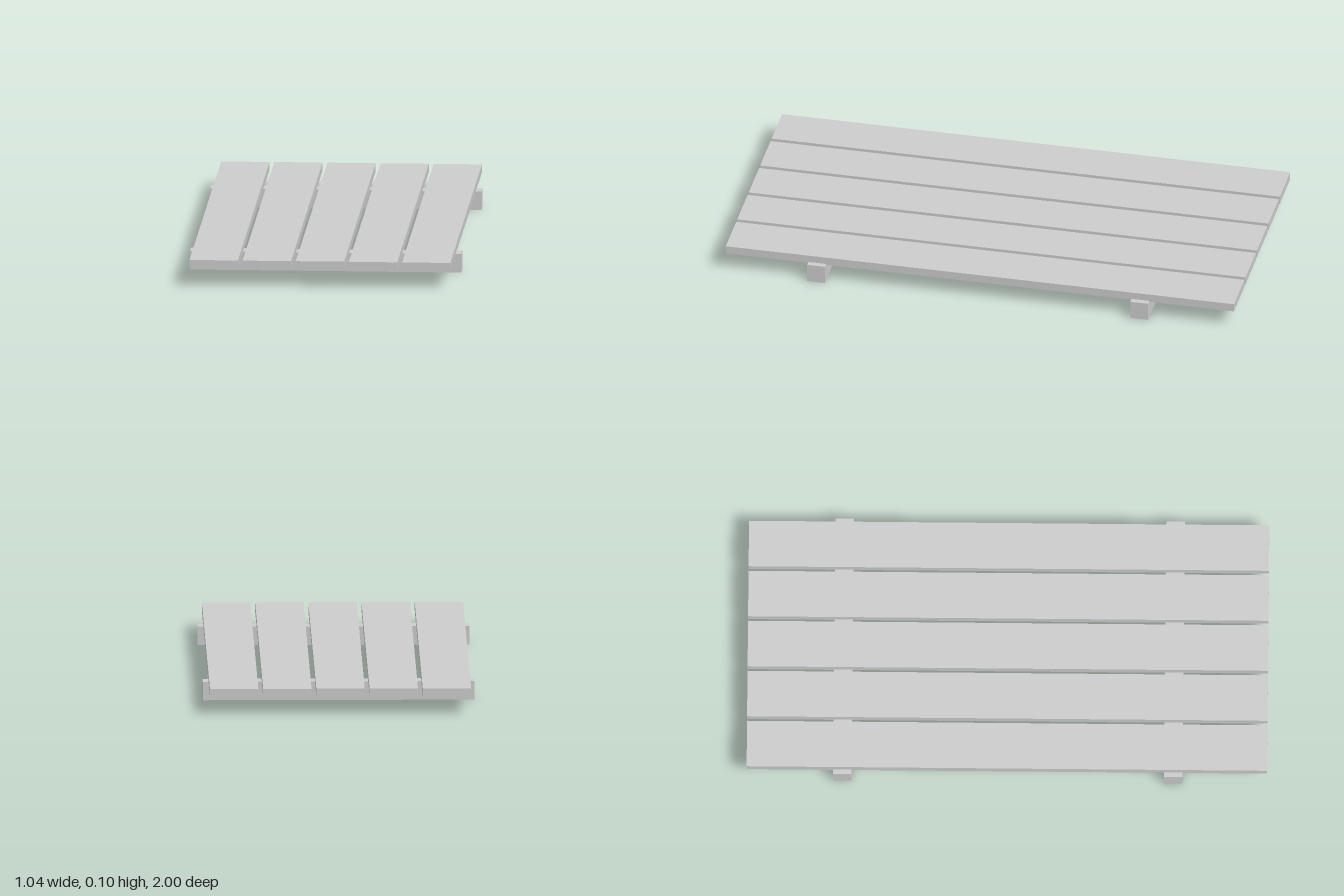
import * as THREE from 'three';

export function createModel() {
  const model = new THREE.Group();
  model.name = 'slattedPlatform';
  const material = new THREE.MeshStandardMaterial({ color: 0xcccccc, flatShading: true });

  const addBox = (name, size, position) => {
    const mesh = new THREE.Mesh(new THREE.BoxGeometry(...size), material);
    mesh.name = name;
    mesh.position.set(...position);
    model.add(mesh);
  };

  // Five long planks, evenly spaced with narrow gaps
  const plankCount = 5, pitch = 0.2045, bottom = 0.068, top = 0.1;
  for (let i = 0; i < plankCount; i++) {
    const x = (i - (plankCount - 1) / 2) * pitch - 0.002;
    addBox(`plank${i + 1}`, [0.186, top - bottom, 2], [x, (top + bottom) / 2, 0]);
  }

  // Two cross beams, let slightly into the planks
  const beamHeight = 0.072;
  addBox('frontBeam', [1.045, beamHeight, 0.07], [0, beamHeight / 2, 0.64]);
  addBox('backBeam', [1.045, beamHeight, 0.07], [0, beamHeight / 2, -0.632]);

  return model;
}
